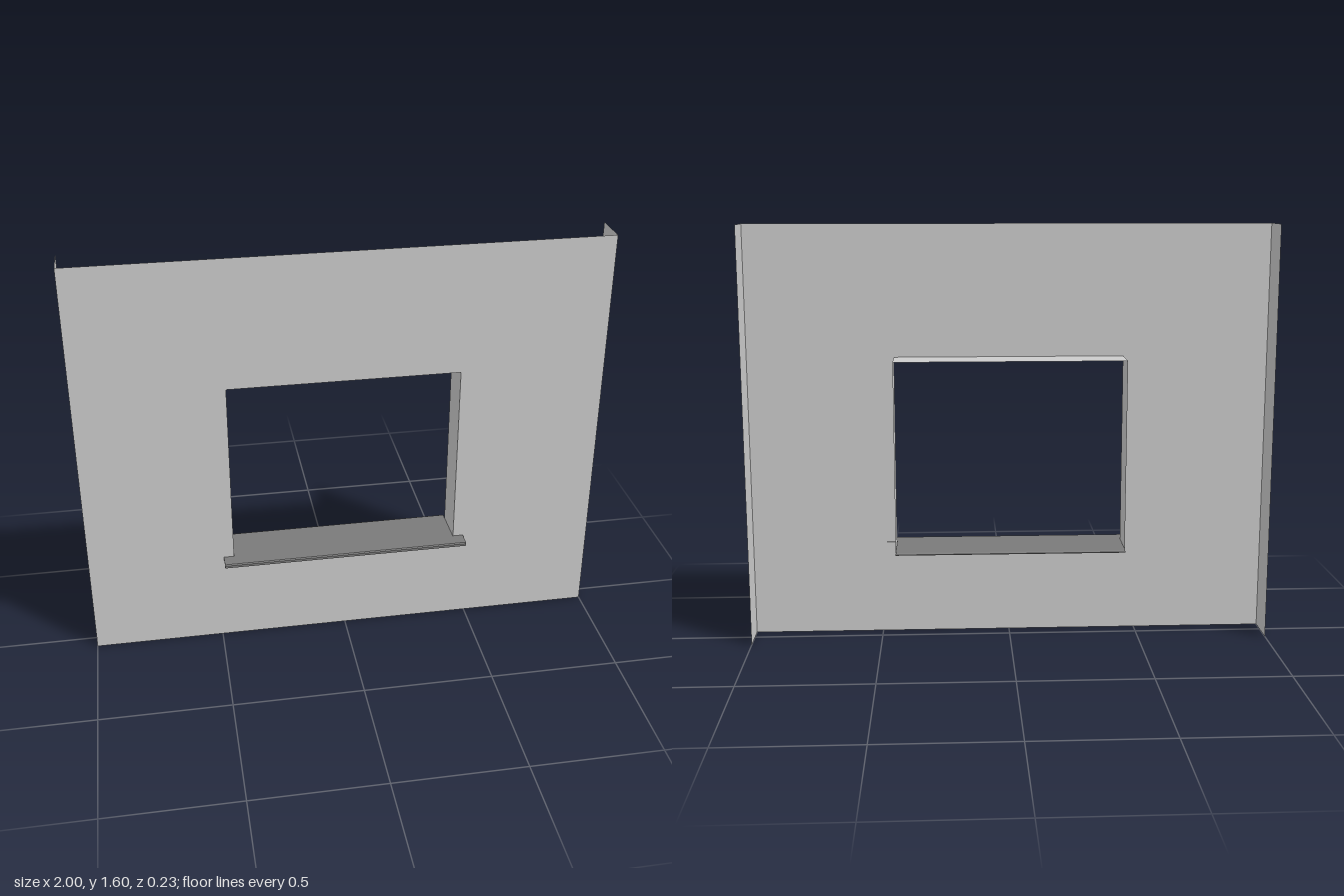
import * as THREE from 'three';

const FRONT = 0.057, BACK = -0.088;       // wall face and rear edge of the returns
const W = 1, H = 1.6;                     // half width, height
const HOLE = 0.44, LOW = 0.36, TOP = 1.095; // window opening

const wallMat = new THREE.MeshStandardMaterial({ color: 0xcccccc, side: THREE.DoubleSide });
const sillMat = new THREE.MeshStandardMaterial({ color: 0x7a7a7a, side: THREE.DoubleSide });

function rect(Kind, x, y0, y1) {
  const s = new Kind();
  s.moveTo(-x, y0);
  s.lineTo(x, y0);
  s.lineTo(x, y1);
  s.lineTo(-x, y1);
  s.closePath();
  return s;
}

export function createModel() {
  const model = new THREE.Group();
  const add = (name, geometry, material = wallMat) => {
    const mesh = new THREE.Mesh(geometry, material);
    mesh.name = name;
    model.add(mesh);
    return mesh;
  };
  const depth = FRONT - BACK, midZ = (FRONT + BACK) / 2;

  // Wall face with the window opening
  const face = rect(THREE.Shape, W, 0, H);
  face.holes.push(rect(THREE.Path, HOLE, LOW, TOP));
  add('wallFace', new THREE.ShapeGeometry(face)).position.z = FRONT;

  // Upright sheets: outer returns face outwards, window jambs face the opening
  const upright = (name, x, y0, y1, facing) => {
    const g = new THREE.PlaneGeometry(depth, y1 - y0).rotateY(facing * Math.PI / 2);
    add(name, g).position.set(x, (y0 + y1) / 2, midZ);
  };
  for (const [side, s] of [['left', 1], ['right', -1]]) {
    upright(side + 'WallReturn', s * W, 0, H, s);
    upright(side + 'WindowJamb', s * HOLE, LOW, TOP, -s);
  }

  // Head and base of the window reveal
  const level = (name, y, facing) => {
    const g = new THREE.PlaneGeometry(2 * HOLE, depth).rotateX(facing * Math.PI / 2);
    add(name, g).position.set(0, y, midZ);
  };
  level('windowHead', TOP, 1);
  level('windowBase', LOW, -1);

  // Sill pieces: a (z, y) profile swept across the width
  const sill = (name, halfWidth, profile) => {
    const shape = new THREE.Shape(profile.map(([z, y]) => new THREE.Vector2(z, y)));
    const g = new THREE.ExtrudeGeometry(shape, { depth: 2 * halfWidth, bevelEnabled: false });
    add(name, g.translate(0, 0, -halfWidth).rotateY(-Math.PI / 2), sillMat);
  };
  // Front ledge with a downturned drip edge, wider than the opening
  sill('sillLedge', 0.48, [
    [FRONT, 0.361], [0.108, 0.361], [0.108, 0.354], [0.115, 0.354],
    [0.115, 0.364], [0.111, 0.368], [FRONT, 0.368],
  ]);
  // Thin sheet through the opening, drooping slightly at the rear
  sill('sillSheet', HOLE - 0.001, [
    [-0.115, 0.358], [-0.105, 0.363], [FRONT, 0.363],
    [FRONT, 0.368], [-0.105, 0.366], [-0.115, 0.361],
  ]);

  return model;
}
